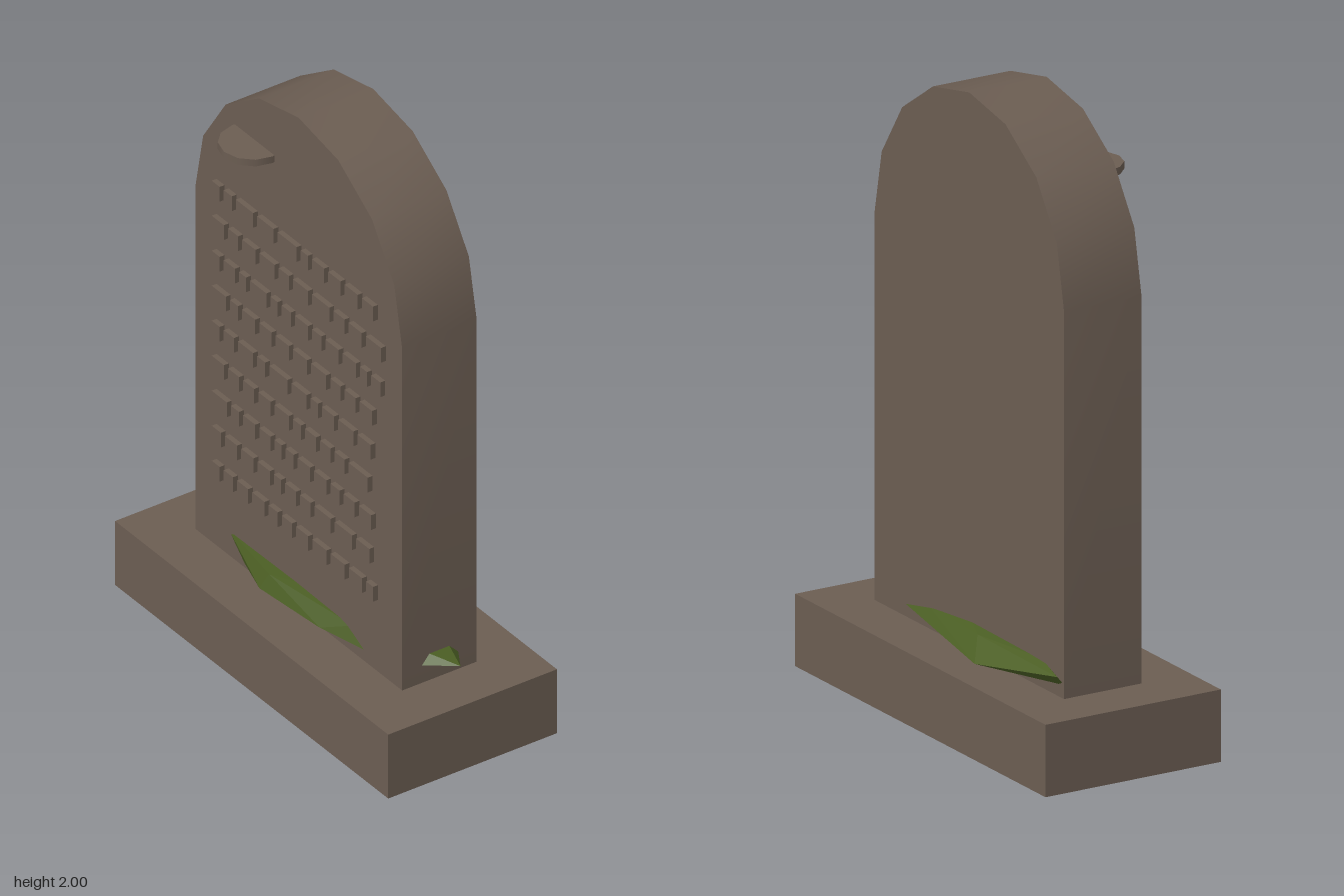
import * as THREE from 'three';
import { toCreasedNormals } from 'three/addons/utils/BufferGeometryUtils.js';
import { ConvexGeometry } from 'three/addons/geometries/ConvexGeometry.js';

const stone = new THREE.MeshStandardMaterial({ color: 0x6b5d52 });
stone.name = 'stone';
const moss = new THREE.MeshStandardMaterial({ color: 0x4a5d23 });
moss.name = 'moss';

const HALF_WIDTH = 0.54, BASE_TOP = 0.23, ARCH_Y = 1.46, FACE_Z = 0.137;

function add(parent, name, geometry, material, x = 0, y = 0, z = 0) {
  const mesh = new THREE.Mesh(geometry, material);
  mesh.name = name;
  mesh.position.set(x, y, z);
  parent.add(mesh);
  return mesh;
}

// Upright slab with an eight-sided half-round top
function slabGeometry() {
  const shape = new THREE.Shape();
  shape.moveTo(-HALF_WIDTH, BASE_TOP);
  shape.lineTo(HALF_WIDTH, BASE_TOP);
  for (let i = 0; i <= 8; i++) {
    const a = (i / 8) * Math.PI;
    shape.lineTo(HALF_WIDTH * Math.cos(a), ARCH_Y + HALF_WIDTH * Math.sin(a));
  }
  shape.closePath();
  const geo = new THREE.ExtrudeGeometry(shape, { depth: 2 * FACE_Z, bevelEnabled: false });
  geo.translate(0, 0, -FACE_Z);
  return toCreasedNormals(geo, 0.5);
}

// Widths of the raised blocks in each row, in hundredths, top row first
const ROWS = [
  [4.2, 4.2, 9, 8.5, 10, 3.7, 6.4, 6.4, 6.9, 5.8],
  [6.4, 5.3, 6.9, 7.9, 5.3, 7.9, 9, 5.8, 6.9, 7.9],
  [4.2, 5.8, 3.7, 8.5, 3.7, 4.8, 6.9, 4.8, 6.9, 6.9, 3.7, 4.8],
  [7.4, 4.2, 6.9, 6.4, 6.9, 7.4, 7.9, 5.3, 5.8, 6.4],
  [4.2, 5.3, 7.9, 4.2, 9.5, 7.9, 3.7, 6.4, 7.9, 6.9],
  [6.4, 5.8, 5.8, 6.4, 7.4, 4.2, 5.8, 5.3, 5.3, 10],
  [7.9, 4.2, 6.4, 5.8, 3.7, 4.2, 6.4, 6.4, 4.8, 5.8, 6.4],
  [4.8, 6.4, 6.4, 6.4, 3.7, 5.8, 5.3, 8.5, 9, 6.9],
  [4.2, 4.8, 5.8, 6.4, 4.8, 5.3, 6.4, 7.4, 7.4, 6.9, 3.7],
];

// Outlines of the moss clumps that hug the foot of the slab
const CLUMPS = {
  frontMoss: [
    [-0.38, 0.318, 0.13], [-0.265, 0.26, 0.15], [-0.1, 0.241, 0.13],
    [-0.12, 0.265, 0.197], [0.16, 0.265, 0.173], [0.375, 0.27, 0.13],
    [0.275, 0.318, 0.13], [-0.1, 0.318, 0.175], [0, 0.323, 0.13],
  ],
  backMoss: [
    [0.4, 0.27, -0.13], [-0.53, 0.3, -0.155], [-0.53, 0.27, -0.13],
    [-0.196, 0.26, -0.24], [-0.1, 0.313, -0.17], [0.25, 0.3, -0.13],
    [0, 0.323, -0.13], [-0.4, 0.318, -0.13], [-0.1, 0.24, -0.13],
  ],
  leftMoss: [
    [0.65, 0.325, 0], [0.53, 0.325, 0.04], [0.53, 0.325, -0.04],
    [0.53, 0.29, 0.07], [0.53, 0.29, -0.075],
  ],
};

export function createModel() {
  const model = new THREE.Group();
  model.name = 'gravestone';

  add(model, 'base', new THREE.BoxGeometry(1.426, BASE_TOP, 0.62), stone, 0, BASE_TOP / 2, 0);
  add(model, 'slab', slabGeometry(), stone);

  // Small round ledge, half sunk into the face
  add(model, 'ledge', new THREE.CylinderGeometry(0.105, 0.105, 0.024, 12), stone, -0.23, 1.785, 0.145);

  // Rows of raised blocks
  const blocks = new THREE.Group();
  blocks.name = 'raisedBlocks';
  model.add(blocks);
  ROWS.forEach((widths, row) => {
    let x = -0.429;
    for (const hundredths of widths) {
      const w = hundredths / 100;
      add(blocks, 'block', new THREE.BoxGeometry(w, 0.053, 0.028), stone,
        x + w / 2, 1.523 - row * 0.126, FACE_Z + 0.004);
      x += w + 0.0212;
    }
  });

  // Moss clumps
  for (const [name, points] of Object.entries(CLUMPS)) {
    add(model, name, new ConvexGeometry(points.map((p) => new THREE.Vector3(...p))), moss);
  }

  return model;
}
